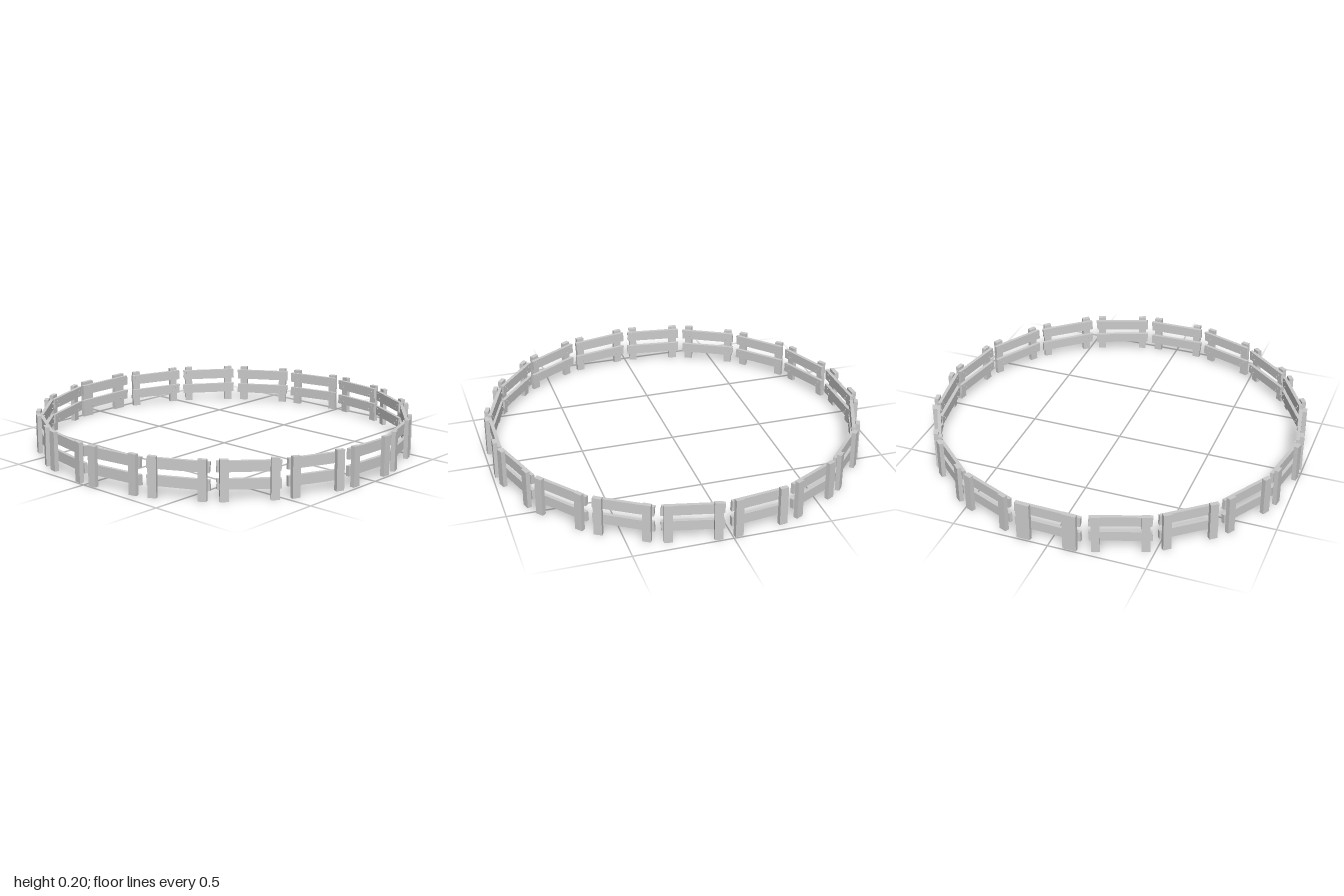
import * as THREE from 'three';

const material = new THREE.MeshStandardMaterial({ color: 0xcccccc, flatShading: true });

// Flat plank cut from an outline in the panel plane, centred on depth z
function plank(name, corners, thickness, z) {
  const shape = new THREE.Shape(corners.map(([x, y]) => new THREE.Vector2(x, y)));
  const geometry = new THREE.ExtrudeGeometry(shape, { depth: thickness, bevelEnabled: false });
  geometry.translate(0, 0, z - thickness / 2);
  const mesh = new THREE.Mesh(geometry, material);
  mesh.name = name;
  return mesh;
}

// Fence panel: local x runs along the fence, +z points out of the ring
function createPanel(halfLength, postWidth) {
  const panel = new THREE.Group();
  const boardZ = 0.955;
  const h = halfLength;

  // Slightly uneven rails
  panel.add(plank('upperRail', [[-h, 0.138], [h - 0.004, 0.134], [h, 0.187], [-h + 0.003, 0.192]], 0.018, boardZ));
  panel.add(plank('lowerRail', [[-h + 0.003, 0.054], [h, 0.048], [h - 0.003, 0.1], [-h, 0.106]], 0.018, boardZ));

  for (const side of [-1, 1]) {
    // Post on the outer face
    const x = side * 0.12;
    const w = postWidth / 2;
    panel.add(plank('post', [[x - w, 0], [x + w, 0], [x + w, 0.203], [x - w, 0.205]], 0.023, boardZ + 0.02));

    // Nail heads on the inner face
    for (const y of [0.077, 0.163]) {
      for (const d of [-1, 1]) {
        const nail = new THREE.Mesh(new THREE.CylinderGeometry(0.004, 0.004, 0.005, 6), material);
        nail.name = 'nail';
        nail.rotation.x = Math.PI / 2;
        nail.position.set(x + d * 0.01, y + d * side * 0.011, boardZ - 0.011);
        panel.add(nail);
      }
    }
  }
  return panel;
}

export function createModel() {
  const fence = new THREE.Group();
  fence.name = 'ringFence';

  // Wide back panel
  const back = createPanel(0.172, 0.07);
  back.name = 'backPanel';
  back.rotation.y = THREE.MathUtils.degToRad(179.4);
  back.position.z = -0.006;
  fence.add(back);

  // Seventeen regular panels fill the rest of the circle
  const first = 100.6, step = (360 - 22.4) / 17;
  for (let i = 0; i < 17; i++) {
    const panel = createPanel(0.154, 0.042);
    panel.name = 'fencePanel';
    panel.rotation.y = THREE.MathUtils.degToRad(first + (i + 0.5) * step + 90);
    fence.add(panel);
  }
  return fence;
}
